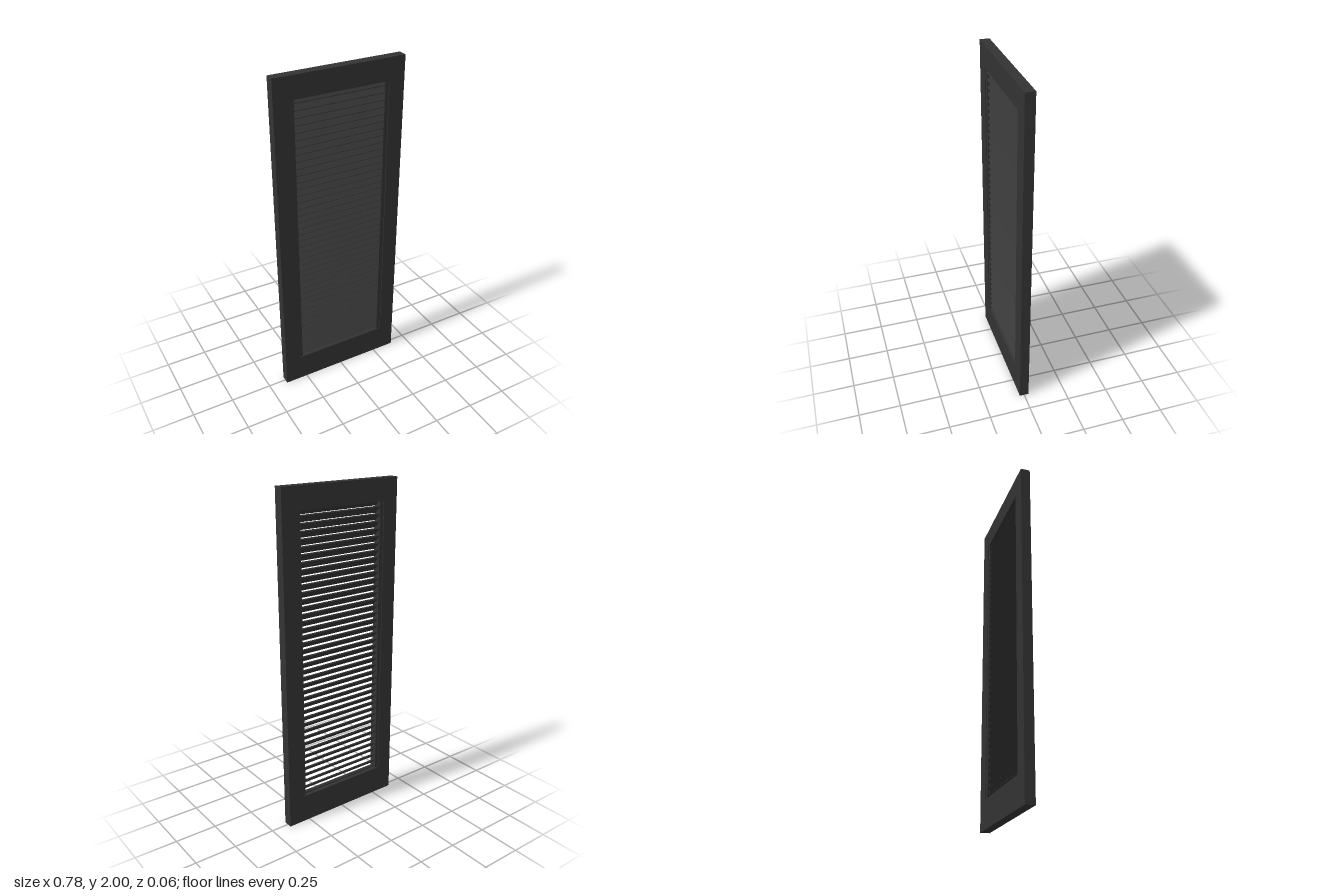
import * as THREE from 'three';

export function createModel() {
  const group = new THREE.Group();
  group.name = 'louveredShutter';
  const paint = new THREE.MeshStandardMaterial({ color: 0x333333 });

  const W = 0.39, DEPTH = 0.056;   // half width, frame thickness
  const INNER = 0.296;             // inner edge of the stiles
  const BOTTOM = 0.17, TOP = 1.87; // opening between the rails

  function box(name, w, h, d, x, y, z = 0) {
    const mesh = new THREE.Mesh(new THREE.BoxGeometry(w, h, d), paint);
    mesh.name = name;
    mesh.position.set(x, y, z);
    group.add(mesh);
    return mesh;
  }

  // Upright stiles and the recessed strips that hold the slats
  for (const [side, s] of [['left', 1], ['right', -1]]) {
    box(side + 'Stile', W - INNER, 2, DEPTH, s * (W + INNER) / 2, 1);
    box(side + 'SlatStrip', 0.024, TOP - BOTTOM, 0.046, s * (INNER - 0.012), (TOP + BOTTOM) / 2);
  }

  // Top and bottom rails
  box('topRail', INNER * 2, 2 - TOP, DEPTH, 0, (2 + TOP) / 2);
  box('bottomRail', INNER * 2, BOTTOM, DEPTH, 0, BOTTOM / 2);

  // Louvre slats, sloping down toward the front; the end ones are let into the rails
  const COUNT = 42, first = 0.172, last = 1.866;
  for (let i = 0; i < COUNT; i++) {
    const y = first + (last - first) * i / (COUNT - 1);
    box('slat' + (i + 1), 0.56, 0.008, 0.055, 0, y).rotation.x = Math.PI / 4;
  }
  return group;
}
